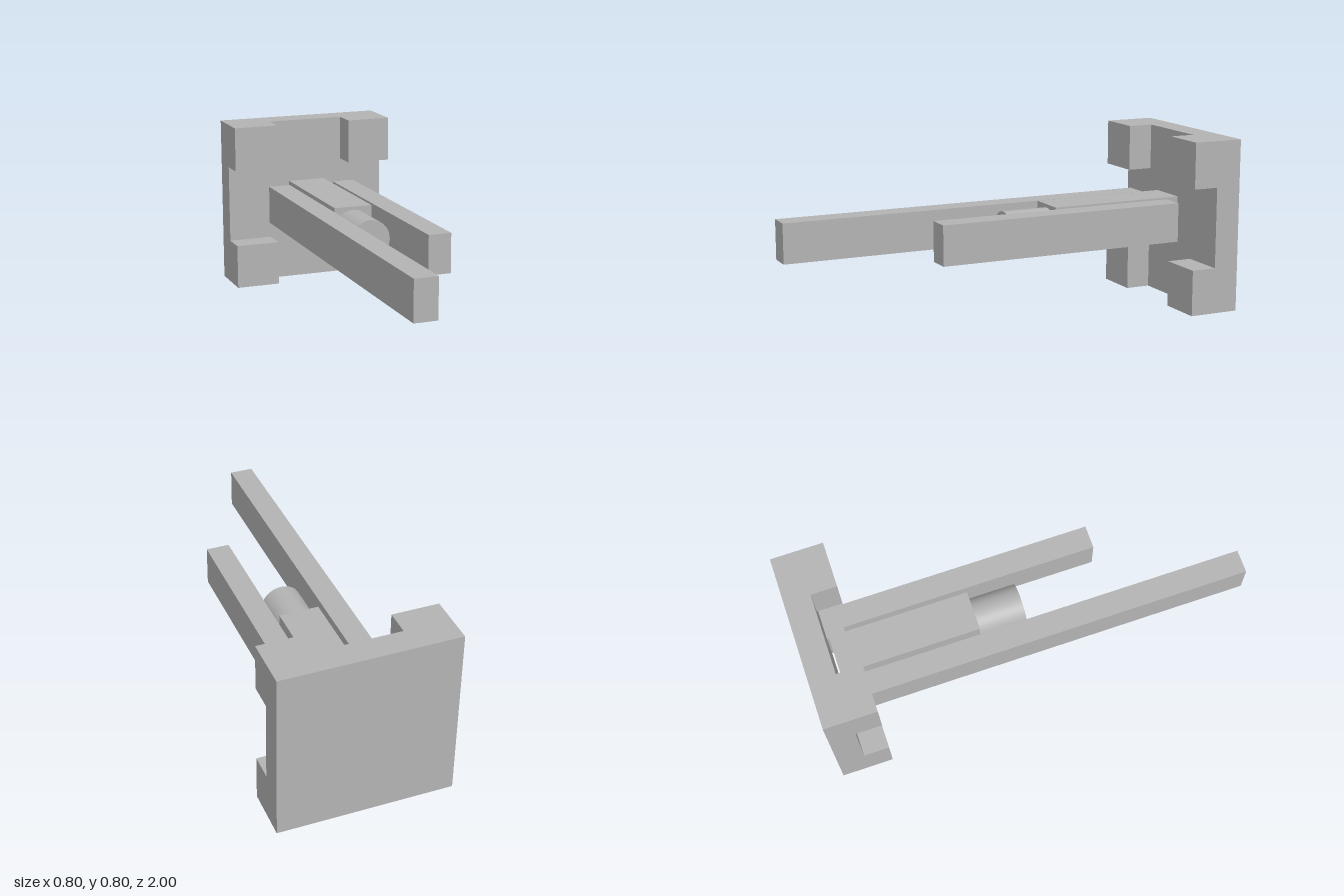
import * as THREE from 'three';

export function createModel() {
  const model = new THREE.Group();
  model.name = 'railAssembly';
  const grey = new THREE.MeshStandardMaterial({ color: 0xb3b3b3 });
  grey.name = 'plainGrey';

  // Box given by its minimum and maximum along each axis
  const box = (name, [x0, x1], [y0, y1], [z0, z1]) => {
    const mesh = new THREE.Mesh(new THREE.BoxGeometry(x1 - x0, y1 - y0, z1 - z0), grey);
    mesh.position.set((x0 + x1) / 2, (y0 + y1) / 2, (z0 + z1) / 2);
    mesh.name = name;
    model.add(mesh);
  };

  // Square back plate with a block on each corner
  box('backPlate', [-0.4, 0.4], [0, 0.8], [-1, -0.88]);
  for (const [side, x] of [['Right', [-0.4, -0.187]], ['Left', [0.187, 0.4]]]) {
    box('lowerBlock' + side, x, [0, 0.213], [-0.88, -0.762]);
    box('upperBlock' + side, x, [0.587, 0.8], [-0.88, -0.762]);
  }

  // Long and short rails, each with a thin rib underneath
  box('longRail', [-0.222, -0.115], [0.31, 0.492], [-0.79, 1]);
  box('longRailRib', [-0.175, -0.162], [0.302, 0.31], [-0.19, 0.68]);
  box('shortRail', [0.113, 0.22], [0.31, 0.492], [-0.79, 0.39]);
  box('shortRailRib', [0.161, 0.174], [0.302, 0.31], [-0.38, 0.18]);

  // Central housing with the round plunger running through it
  box('housing', [-0.092, 0.091], [0.305, 0.496], [-0.865, -0.22]);
  const plunger = new THREE.Mesh(new THREE.CylinderGeometry(0.0945, 0.0945, 0.73, 48), grey);
  plunger.rotation.x = Math.PI / 2;
  plunger.position.set(-0.001, 0.386, -0.365);
  plunger.name = 'plunger';
  model.add(plunger);

  return model;
}
